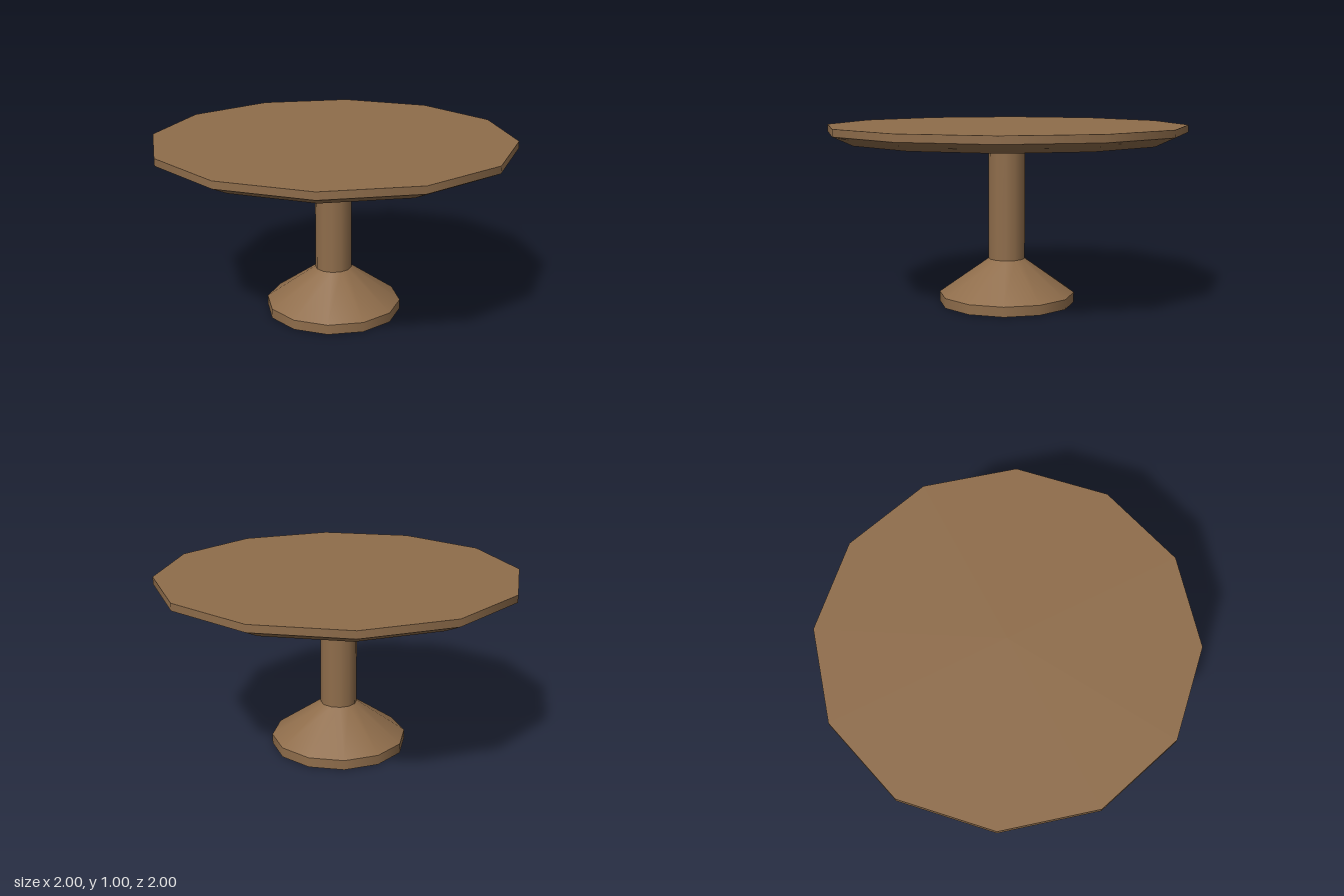
import * as THREE from 'three';

const SIDES = 12;

export function createModel() {
  const wood = new THREE.MeshStandardMaterial({ color: 0x8f6d4b });
  wood.name = 'brown wood';
  const table = new THREE.Group();
  table.name = 'pedestalTable';

  const add = (name, geometry, y = 0) => {
    const mesh = new THREE.Mesh(geometry, wood);
    mesh.name = name;
    mesh.position.y = y;
    table.add(mesh);
  };

  // Straight or tapered twelve-sided section standing on y0
  const section = (name, rTop, rBottom, y0, y1, open) =>
    add(name, new THREE.CylinderGeometry(rTop, rBottom, y1 - y0, SIDES, 1, open), (y0 + y1) / 2);

  // Flat disc facing up or down
  const disc = (name, radius, y, up) => {
    const geometry = new THREE.CircleGeometry(radius, SIDES);
    geometry.rotateX(up ? -Math.PI / 2 : Math.PI / 2);
    add(name, geometry, y);
  };

  // Foot: plinth with a cone flowing into the stem
  disc('footBottom', 0.38, 0, false);
  section('footRim', 0.38, 0.38, 0, 0.055, true);
  section('footCone', 0.102, 0.38, 0.055, 0.25, true);

  // Stem
  section('stem', 0.102, 0.102, 0.25, 0.85, true);

  // Table top: shallow dished underside, upright rim, flat surface
  const profile = [[0.102, 0.85], [0.89, 0.91], [1, 0.96]].map(([r, y]) => new THREE.Vector2(r, y));
  add('topUnderside', new THREE.LatheGeometry(profile, SIDES));
  section('topRim', 1, 1, 0.96, 1, true);
  disc('topSurface', 1, 1, true);

  return table;
}
